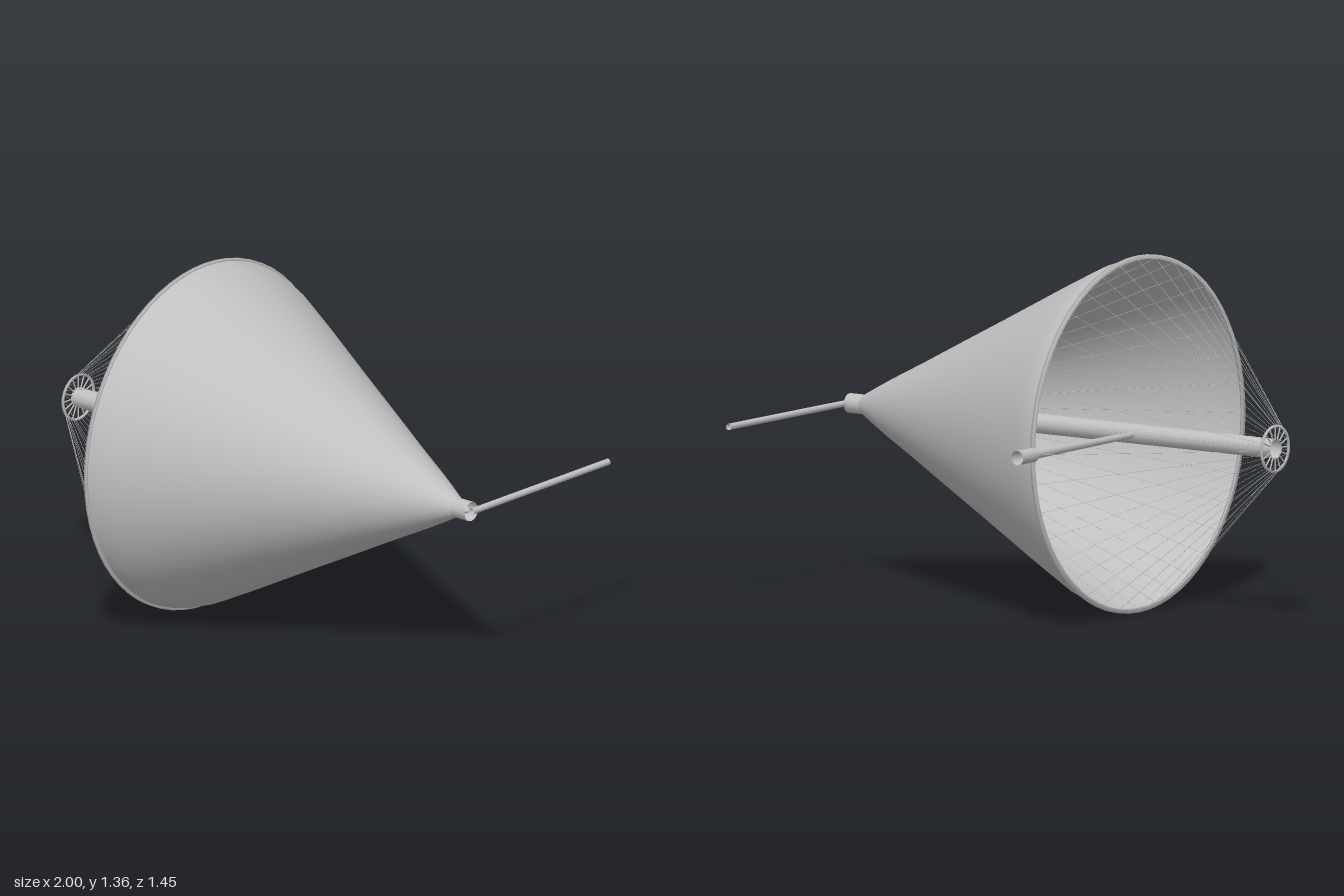
import * as THREE from 'three';

export function createModel() {
  const model = new THREE.Group();
  const grey = new THREE.MeshStandardMaterial({ color: 0xc0c0c0, side: THREE.DoubleSide });
  grey.name = 'light grey';
  const CY = 0.68, CZ = 0.042; // main axis runs along x through this point
  const MOUTH = -0.357, TIP = 0.984;

  const add = (name, geometry, parent = model) => {
    const mesh = new THREE.Mesh(geometry, grey);
    mesh.name = name;
    parent.add(mesh);
    return mesh;
  };
  // Surface of revolution about the main axis, points are [radius, x]
  const turned = (name, points, sides) => {
    const g = new THREE.LatheGeometry(points.map(([r, x]) => new THREE.Vector2(r, x)), sides);
    g.rotateZ(-Math.PI / 2);
    g.translate(0, CY, CZ);
    return add(name, g);
  };
  // Straight open-ended tube between two points
  const tube = (name, a, b, ra, rb = ra, sides = 12, parent = model) => {
    const dir = b.clone().sub(a);
    const mesh = add(name, new THREE.CylinderGeometry(rb, ra, dir.length(), sides, 1, true), parent);
    mesh.position.copy(a).add(b).multiplyScalar(0.5);
    mesh.quaternion.setFromUnitVectors(new THREE.Vector3(0, 1, 0), dir.normalize());
    return mesh;
  };
  const around = (x, r, t) => new THREE.Vector3(x, CY + r * Math.cos(t), CZ + r * Math.sin(t));

  // Large funnel-shaped skin, curved at the mouth and closing to a point inside the axle
  turned('coneShell', [
    [0.67, MOUTH], [0.662, -0.32], [0.645, -0.27], [0.605, -0.19], [0.555, -0.09],
    [0.503, 0.01], [0.4, 0.21], [0.298, 0.41], [0.195, 0.61], [0.115, 0.77],
    [0.078, 0.84], [0.056, 0.88], [0.041, 0.908], [0.02, 0.945], [0, 0.98],
  ], 64);

  // Thin rim hoop around the mouth
  turned('rimHoop', [
    [0.662, MOUTH - 0.006], [0.678, MOUTH - 0.006], [0.678, MOUTH + 0.006],
    [0.662, MOUTH + 0.006], [0.662, MOUTH - 0.006],
  ], 64);

  // Hollow axle through the whole cone
  tube('axleTube', around(-1, 0, 0), around(TIP, 0, 0), 0.038);

  // Small spoked hub at the free end of the axle
  turned('hubRing', [
    [0.083, -1], [0.091, -1], [0.091, -0.992], [0.083, -0.992], [0.083, -1],
  ], 32);
  const hubSpokes = new THREE.Group();
  hubSpokes.name = 'hubSpokes';
  model.add(hubSpokes);
  for (let i = 0; i < 16; i++) {
    const t = (i / 16) * Math.PI * 2;
    tube('hubSpoke', around(-0.996, 0.036, t), around(-0.996, 0.086, t), 0.003, 0.003, 6, hubSpokes);
  }

  // Bracing wires from the rim to the hub and to the inner tip
  const wires = new THREE.Group();
  wires.name = 'bracingWires';
  model.add(wires);
  const WIRES = 36;
  for (let i = 0; i < WIRES; i++) {
    const t = (i / WIRES) * Math.PI * 2;
    const rim = around(MOUTH, 0.664, t);
    tube('hubWire', around(-0.996, 0.086, t), rim, 0.0008, 0.0008, 4, wires);
    tube('innerWire', rim, around(0.88, 0.038, t), 0.0008, 0.0008, 4, wires);
  }

  // Side arm from the axle out past the rim, with a wider sleeve at its end
  const arm = (x, z) => new THREE.Vector3(x, CY + 0.001, z);
  tube('sideArm', arm(MOUTH, CZ - 0.03), arm(MOUTH, -0.64), 0.012, 0.018);
  tube('sideArmSleeve', arm(MOUTH, -0.625), arm(MOUTH, -0.726), 0.028);

  // Slim pole standing off the tip
  tube('tipPole', arm(0.987, CZ), arm(0.987, -0.726), 0.0125);

  return model;
}
